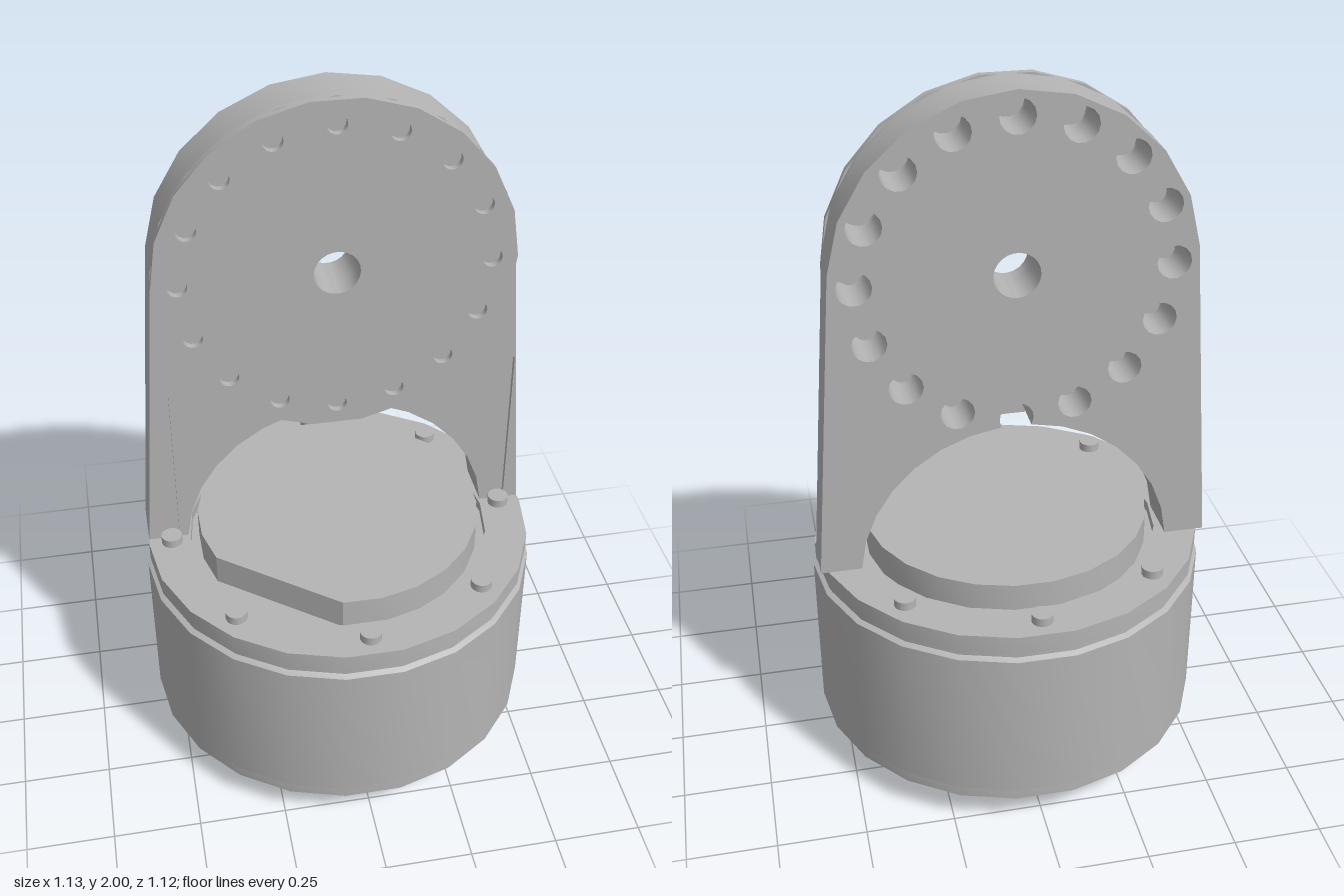
import * as THREE from 'three';
import { toCreasedNormals } from 'three/addons/utils/BufferGeometryUtils.js';

const SIDES = 22;
const RAD = Math.PI / 180;
const metal = new THREE.MeshStandardMaterial({ color: 0xb4b4b4 });
metal.name = 'grey metal';

// Points along an arc, angles in degrees
function arc(cx, cy, r, from, to, n) {
  return Array.from({ length: n + 1 }, (_, i) => {
    const a = (from + (to - from) * i / n) * RAD;
    return new THREE.Vector2(cx + r * Math.cos(a), cy + r * Math.sin(a));
  });
}
const circle = (cx, cy, r, n = SIDES) => arc(cx, cy, r, 0, 360 - 360 / n, n - 1);

// Evenly spaced round holes on a pitch circle
function holeRing(cx, cy, pitch, count, r, skip = -1) {
  return arc(cx, cy, pitch, -90, 270 - 360 / count, count - 1)
    .filter((_, i) => i !== skip)
    .map(p => circle(p.x, p.y, r, 14));
}

function mesh(name, geometry) {
  const m = new THREE.Mesh(toCreasedNormals(geometry, 0.5), metal);
  m.name = name;
  return m;
}

// Plate with holes, standing between two depths z0 and z1
function plate(name, outline, holes, z0, z1) {
  const shape = new THREE.Shape(outline);
  shape.holes = holes.map(h => new THREE.Path(h));
  const g = new THREE.ExtrudeGeometry(shape, { depth: z1 - z0, bevelEnabled: false });
  return mesh(name, g.translate(0, 0, z0));
}

// Plate lying flat between two heights
function flatPlate(name, outline, holes, y0, y1) {
  const m = plate(name, outline, holes, y0, y1);
  m.geometry.rotateX(-Math.PI / 2);
  return m;
}

function lathe(name, profile) {
  const pts = profile.map(p => new THREE.Vector2(...p));
  return mesh(name, new THREE.LatheGeometry(pts, SIDES, Math.PI / 2));
}

// Bracket outline: round head, tapering legs, arched opening with a bolt notch
function bracketOutline(grooved) {
  const groove = s => [[0.512, 0.66], [0.512, 1.17], [0.465, 1.17], [0.465, 0.66]]
    .map(([x, y]) => new THREE.Vector2(s * x, y));
  return [
    ...(grooved ? groove(1).reverse() : []),
    new THREE.Vector2(0.555, 0.66),
    ...arc(0, 1.513, 0.487, 5, 175, 10),
    new THREE.Vector2(-0.555, 0.66),
    ...(grooved ? groove(-1) : []),
    ...arc(0, 0.63, 0.441, 176, 95.3, 7),
    ...arc(0, 1.092, 0.047, 209, -29, 10).slice(1, -1),
    ...arc(0, 0.63, 0.441, 84.7, 4, 7),
  ];
}

export function createModel() {
  const model = new THREE.Group();
  model.name = 'motorWithBracket';

  // Motor housing with a thin groove below the flange
  model.add(lathe('housing', [
    [0.565, 0.13], [0.565, 0.583], [0.55, 0.59], [0.55, 0.6],
    [0.557, 0.605], [0.557, 0.66], [0.436, 0.66], [0.436, 0.63], [0, 0.63],
  ]));
  model.add(flatPlate('housingBottom', circle(0, 0, 0.565),
    [circle(0, 0, 0.4), ...holeRing(0, 0, 0.51, 8, 0.015)], 0.1, 0.13));

  // Tapered bottom cover and hub
  model.add(lathe('bottomCover', [
    [0, 0.08], [0.12, 0.08], [0.12, 0.015], [0.405, 0.015],
    [0.46, 0.06], [0.435, 0.062], [0.435, 0.1],
  ]));
  model.add(flatPlate('hub', circle(0, 0, 0.2),
    [circle(0, 0, 0.12), ...holeRing(0, 0, 0.162, 8, 0.016)], 0, 0.016));

  // Top cap with one flat side
  model.add(flatPlate('topCap', arc(0, 0, 0.41, -98.5, 203, 20), [], 0.63, 0.72));

  // Flange bolts
  for (let i = 0; i < 8; i++) {
    const a = i * Math.PI / 4;
    const g = new THREE.CylinderGeometry(0.03, 0.03, 0.035, 16);
    g.translate(0.49 * Math.cos(a), 0.6675, 0.49 * Math.sin(a));
    model.add(mesh('flangeBolt', g));
  }

  // Upright bracket: back layer, grooved front layer, round face plate
  const cy = 1.513, pitch = 0.42;
  const centre = circle(0, cy, 0.063);
  const sockets = [centre, ...holeRing(0, cy, pitch, 16, 0.047, 0)];
  model.add(plate('bracketBack', bracketOutline(false), sockets, -0.16, -0.034));
  model.add(plate('bracketFront', bracketOutline(true), sockets, -0.034, -0.02));
  model.add(plate('facePlate', circle(0, cy, 0.489),
    [centre, ...holeRing(0, cy, pitch, 16, 0.027)], -0.02, 0));

  // Pins seated in the face plate holes
  for (const p of arc(0, cy, pitch, 0, 337.5, 15)) {
    const g = new THREE.CylinderGeometry(0.028, 0.028, 0.05, 14).rotateX(Math.PI / 2);
    model.add(mesh('facePin', g.translate(p.x, p.y, -0.045)));
  }
  return model;
}
